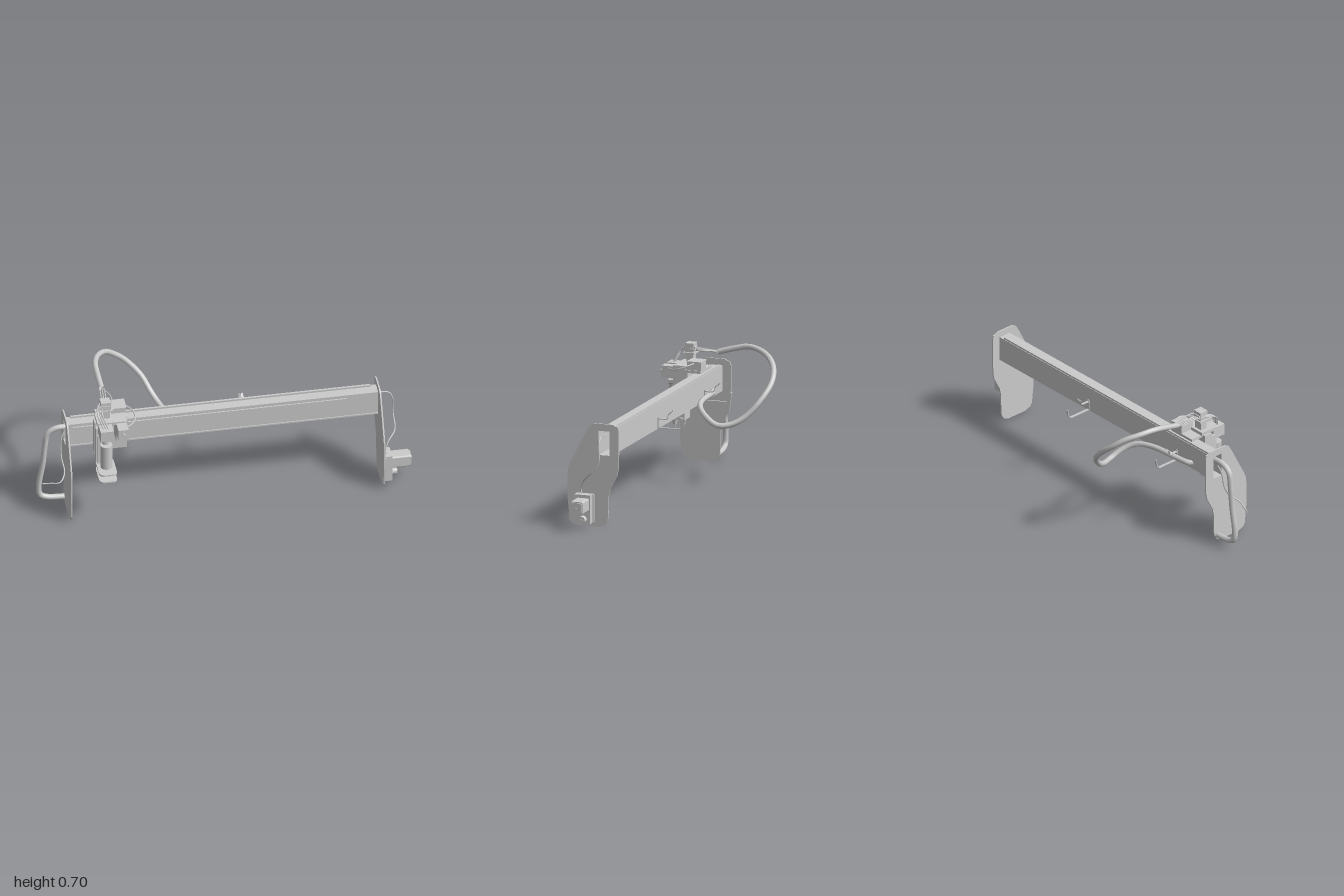
import * as THREE from 'three';

const grey = new THREE.MeshStandardMaterial({ color: 0xcccccc, side: THREE.DoubleSide, flatShading: true });
const smooth = new THREE.MeshStandardMaterial({ color: 0xcccccc, side: THREE.DoubleSide });

export function createModel() {
  const root = new THREE.Group();
  root.name = 'gantry';

  const add = (name, geo, mat = grey, parent = root) => {
    const m = new THREE.Mesh(geo, mat);
    m.name = name;
    parent.add(m);
    return m;
  };
  // box given by its limits on each axis
  const box = (name, x0, x1, y0, y1, z0, z1) => {
    const g = new THREE.BoxGeometry(x1 - x0, y1 - y0, z1 - z0);
    return add(name, g.translate((x0 + x1) / 2, (y0 + y1) / 2, (z0 + z1) / 2));
  };
  const cyl = (name, r0, r1, x, y0, y1, z, n = 20) =>
    add(name, new THREE.CylinderGeometry(r1, r0, y1 - y0, n).translate(x, (y0 + y1) / 2, z));
  const tube = (name, pts, r, sides = 8, steps = 40) => {
    const curve = new THREE.CatmullRomCurve3(pts.map(p => new THREE.Vector3(...p)));
    return add(name, new THREE.TubeGeometry(curve, steps, r, sides), smooth);
  };
  // profile in (z, y), extruded along x from x0 to x1
  const profile = (name, shape, x0, x1) => {
    const g = new THREE.ExtrudeGeometry(shape, { depth: x1 - x0, bevelEnabled: false, curveSegments: 8 });
    return add(name, g.rotateY(-Math.PI / 2).translate(x1, 0, 0));
  };
  const poly = pts => new THREE.Shape(pts.map(p => new THREE.Vector2(...p)));
  const rect = (z0, z1, y0, y1) => poly([[z0, y0], [z1, y0], [z1, y1], [z0, y1]]);
  const rounded = (x0, x1, y0, y1, r) => {
    const s = new THREE.Shape();
    s.absarc(x1 - r, y0 + r, r, -Math.PI / 2, 0);
    s.absarc(x1 - r, y1 - r, r, 0, Math.PI / 2);
    s.absarc(x0 + r, y1 - r, r, Math.PI / 2, Math.PI);
    s.absarc(x0 + r, y0 + r, r, Math.PI, Math.PI * 1.5);
    return s;
  };

  // Side plates with a window onto the hollow beam
  for (const [name, x] of [['leftSidePlate', 0.831], ['rightSidePlate', -0.846]]) {
    const s = poly([[0.265, 0.002], [0.14, 0.002], [0.115, 0.012], [0.1, 0.035], [0.095, 0.055], [0.092, 0.17],
      [0.083, 0.21], [0.046, 0.28], [0.038, 0.32], [0.035, 0.4], [0.035, 0.53], [0.041, 0.548], [0.055, 0.552],
      [0.068, 0.56], [0.175, 0.56], [0.2, 0.546], [0.217, 0.518], [0.308, 0.34], [0.32, 0.31], [0.323, 0.28],
      [0.323, 0.14], [0.312, 0.035], [0.3, 0.015]]);
    s.holes.push(rect(0.088, 0.148, 0.391, 0.523));
    profile(name, s, x, x + 0.008);
  }

  // Hollow beam and its rails
  const beam = rect(0.083, 0.153, 0.386, 0.525);
  beam.holes.push(rect(0.088, 0.148, 0.391, 0.52));
  profile('beam', beam, -0.838, 0.831);
  box('topRail', -0.81, 0.8, 0.525, 0.535, 0.086, 0.098);
  box('upperFrontRail', -0.81, 0.66, 0.501, 0.508, 0.153, 0.16);
  box('lowerFrontRail', -0.835, 0.83, 0.386, 0.394, 0.153, 0.158);

  // Carriage on the beam
  box('carriagePlate', -0.7, -0.52, 0.36, 0.56, 0.16, 0.178);
  box('carriageTop', -0.68, -0.52, 0.545, 0.56, 0.085, 0.178);
  box('carriageDrive', -0.6, -0.525, 0.56, 0.607, 0.085, 0.165);
  box('carriageDriveLid', -0.605, -0.52, 0.603, 0.608, 0.083, 0.165);
  box('carriageShelf', -0.69, -0.53, 0.56, 0.578, 0.15, 0.245);
  box('driveHousing', -0.59, -0.53, 0.455, 0.57, 0.178, 0.245);
  box('frontMotor', -0.59, -0.535, 0.505, 0.57, 0.245, 0.313);
  for (const y of [0.538, 0.485]) {
    const r = y > 0.5 ? 0.012 : 0.017;
    add('driveShaft', new THREE.CylinderGeometry(r, r, 0.08, y > 0.5 ? 16 : 6)
      .rotateX(Math.PI / 2).translate(-0.561, y, y > 0.5 ? 0.283 : 0.24));
  }

  // Vertical slide with its motor
  box('slideBack', -0.7, -0.605, 0.36, 0.56, 0.178, 0.21);
  for (const x of [-0.692, -0.614]) box('slideRail', x - 0.006, x + 0.006, 0.3, 0.54, 0.21, 0.235);
  box('slideColumn', -0.665, -0.615, 0.56, 0.63, 0.165, 0.202);
  box('slideMotorFlange', -0.675, -0.6, 0.627, 0.635, 0.152, 0.216);
  box('slideMotor', -0.665, -0.613, 0.635, 0.683, 0.16, 0.21);
  box('slideMotorCap', -0.66, -0.618, 0.645, 0.665, 0.155, 0.215);

  // Spindle and its holder
  box('spindleHead', -0.685, -0.615, 0.505, 0.57, 0.235, 0.313);
  cyl('spindleNeck', 0.02, 0.02, -0.65, 0.465, 0.505, 0.262);
  cyl('spindleBody', 0.032, 0.032, -0.65, 0.28, 0.465, 0.28);
  cyl('spindleNose', 0.018, 0.026, -0.65, 0.25, 0.28, 0.28);
  cyl('spindleCollet', 0.01, 0.014, -0.65, 0.232, 0.25, 0.28, 6);
  cyl('spindleBit', 0.004, 0.005, -0.65, 0.215, 0.232, 0.28, 8);
  box('holderBack', -0.69, -0.61, 0.265, 0.5, 0.21, 0.25);
  for (const y of [0.271, 0.315]) {
    const s = rounded(-0.698, -0.602, -0.36, -0.21, 0.025);
    const ring = new THREE.Path().absarc(-0.65, -0.28, 0.03, 0, Math.PI * 2, true);
    s.holes.push(ring);
    const g = new THREE.ExtrudeGeometry(s, { depth: 0.008, bevelEnabled: false, curveSegments: 8 });
    add('holderPlate', g.rotateX(-Math.PI / 2).translate(0, y, 0));
  }

  // Drive unit on the left plate
  profile('driveMount', rounded(0.172, 0.277, 0.022, 0.179, 0.008), 0.839, 0.85);
  profile('driveBracket', rect(0.18, 0.268, 0.022, 0.179), 0.85, 0.886);
  profile('driveMotor', rounded(0.185, 0.256, 0.093, 0.162, 0.009), 0.886, 0.985);
  profile('driveMotorCap', rounded(0.19, 0.25, 0.098, 0.157, 0.009), 0.985, 0.992);
  const axle = (name, r, x0, x1, y, z) =>
    add(name, new THREE.CylinderGeometry(r, r, x1 - x0, 20).rotateZ(Math.PI / 2).translate((x0 + x1) / 2, y, z));
  axle('driveMotorShaft', 0.005, 0.99, 1, 0.127, 0.22);
  axle('drivePulley', 0.02, 0.886, 0.918, 0.048, 0.217);
  axle('drivePulleyPin', 0.007, 0.915, 0.922, 0.048, 0.217);

  // Cable hooks behind the beam
  const strip = (pts, t) => {
    const c = new THREE.SplineCurve(pts.map(p => new THREE.Vector2(...p))).getPoints(14);
    return poly([...c.map(p => [p.x, p.y]), ...c.reverse().map(p => [p.x + t[0], p.y + t[1]])]);
  };
  for (const x of [-0.575, 0.122]) {
    profile('hookBack', rect(0.077, 0.083, 0.391, 0.45), x, x + 0.012);
    profile('hookBase', rect(-0.045, 0.08, 0.391, 0.396), x, x + 0.012);
    profile('hookFrontProng', strip([[-0.045, 0.391], [-0.06, 0.402], [-0.069, 0.42], [-0.073, 0.446]], [0.004, 0.003]), x, x + 0.012);
    profile('hookBackProng', strip([[0.08, 0.44], [0.03, 0.442], [0.022, 0.465], [0.005, 0.48], [-0.006, 0.492]], [0.001, 0.005]), x, x + 0.012);
  }

  // Main cable loop behind the beam
  tube('cableLoop', [[-0.63, 0.648, 0.025], [-0.635, 0.672, -0.06], [-0.635, 0.688, -0.14], [-0.61, 0.678, -0.22],
    [-0.56, 0.65, -0.29], [-0.51, 0.605, -0.33], [-0.44, 0.545, -0.343], [-0.36, 0.46, -0.307], [-0.315, 0.385, -0.245],
    [-0.28, 0.345, -0.18], [-0.255, 0.338, -0.11], [-0.268, 0.367, -0.05], [-0.32, 0.405, 0.01],
    [-0.42, 0.418, 0.045], [-0.6, 0.42, 0.06], [-0.67, 0.42, 0.072], [-0.69, 0.42, 0.1]], 0.0155, 8, 48);

  // Cable outside the right plate, running through the window
  tube('sideCable', [[-0.8, 0.488, 0.118], [-0.89, 0.488, 0.118], [-0.935, 0.46, 0.118], [-0.95, 0.38, 0.118],
    [-0.962, 0.26, 0.118], [-0.983, 0.12, 0.118], [-0.976, 0.065, 0.118], [-0.94, 0.045, 0.118], [-0.845, 0.036, 0.118]], 0.0155);

  // Thin wires on both plates
  tube('driveWire', [[0.8, 0.497, 0.12], [0.89, 0.494, 0.12], [0.912, 0.46, 0.12], [0.915, 0.36, 0.122], [0.915, 0.29, 0.18],
    [0.87, 0.245, 0.225], [0.852, 0.19, 0.242], [0.87, 0.165, 0.217]], 0.004, 6);
  tube('sideWire', [[-0.848, 0.46, 0.12], [-0.865, 0.42, 0.13], [-0.868, 0.32, 0.15], [-0.86, 0.25, 0.2],
    [-0.89, 0.215, 0.235], [-0.94, 0.205, 0.22], [-0.98, 0.2, 0.21]], 0.004, 6);

  // Wires from the loop to the carriage
  for (const [i, dx] of [-0.012, 0, 0.012].entries()) {
    tube('headWire', [[-0.63 + dx, 0.648, 0.03], [-0.64 + dx, 0.652, 0.13], [-0.675 + dx, 0.652, 0.22],
      [-0.675 + dx, 0.63, 0.255], [-0.66 + dx, 0.59, 0.272], [-0.65 + dx, 0.56 + i * 0.004, 0.285]], 0.004, 6);
  }
  tube('slideMotorWire', [[-0.63, 0.65, 0.03], [-0.6, 0.653, 0.1], [-0.6, 0.655, 0.16], [-0.62, 0.655, 0.19]], 0.004, 6);
  tube('frontMotorWire', [[-0.6, 0.6, 0.11], [-0.52, 0.595, 0.13], [-0.485, 0.58, 0.17], [-0.485, 0.565, 0.22],
    [-0.52, 0.56, 0.262], [-0.55, 0.56, 0.28]], 0.004, 6);

  return root;
}
